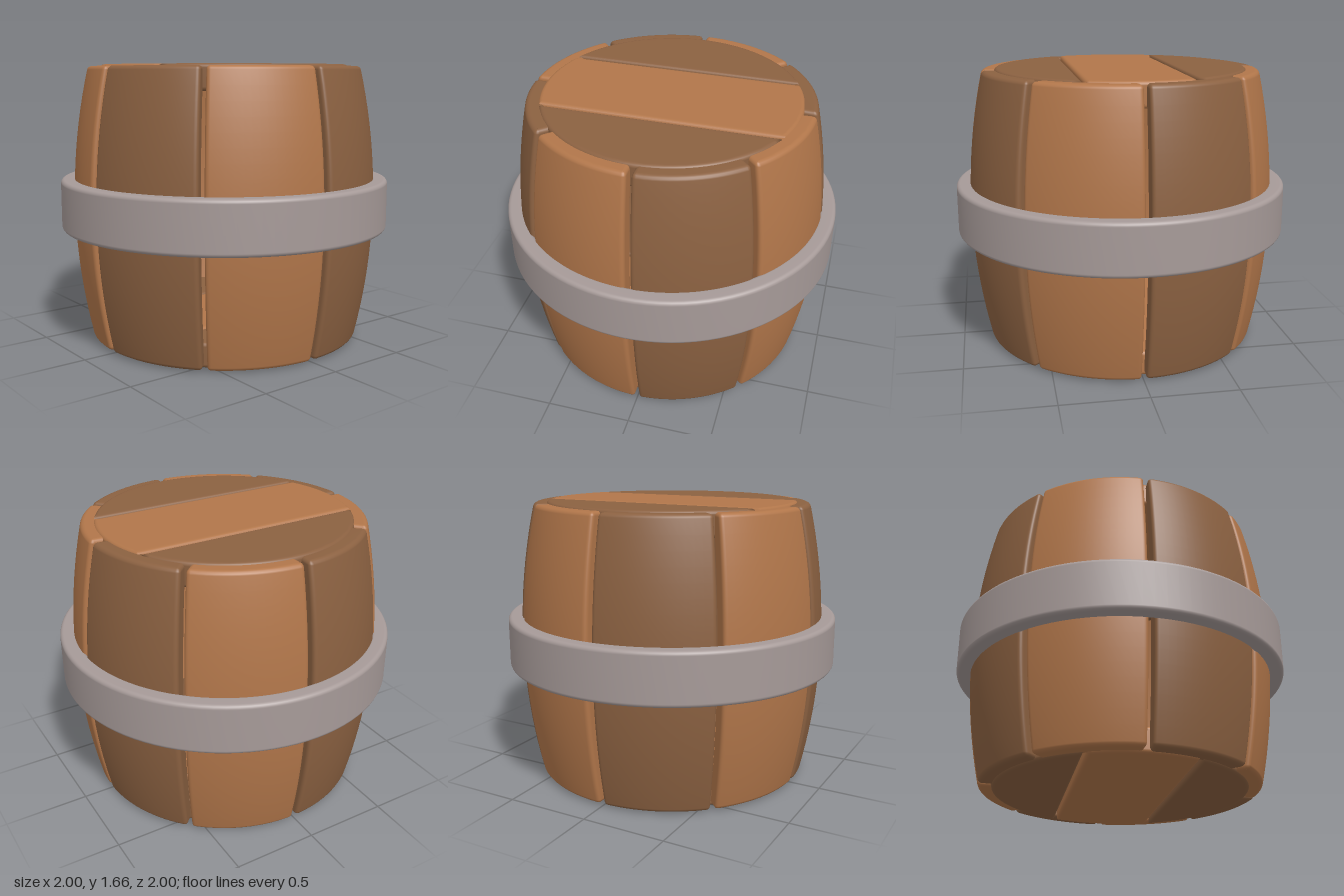
import * as THREE from 'three';
import { mergeVertices } from 'three/addons/utils/BufferGeometryUtils.js';

const TOP = 1.665, MID = TOP / 2;
const lightWood = new THREE.MeshStandardMaterial({ color: 0xb1764a });
const darkWood = new THREE.MeshStandardMaterial({ color: 0x8b6141 });
const iron = new THREE.MeshStandardMaterial({ color: 0xa69a98 });

// Upright slab from a plan outline, with rounded rims, standing between y0 and y1
function slab(shape, y0, y1, bevel, steps, curveSegments) {
  const g = new THREE.ExtrudeGeometry(shape, {
    depth: y1 - y0 - 2 * bevel, steps, curveSegments,
    bevelThickness: bevel, bevelSize: bevel, bevelOffset: -bevel, bevelSegments: 4,
  });
  g.rotateX(-Math.PI / 2);
  g.translate(0, y0 + bevel, 0);
  return g;
}

// Weld the surface and give it area-weighted smooth normals
function smooth(g) {
  g.deleteAttribute('uv');
  g.deleteAttribute('normal');
  const welded = mergeVertices(g, 1e-4);
  welded.computeVertexNormals();
  return welded;
}

// Plan of one stave: a ring sector with rounded corners and a parallel gap to its neighbours
function stavePlan(ri, ro, gap, c) {
  const s = new THREE.Shape();
  const half = r => Math.PI / 8 - Math.asin(gap / 2 / r);
  const p = (r, a) => [r * Math.cos(a), r * Math.sin(a)];
  const ho = half(ro), hi = half(ri), eo = ho - c / ro, ei = hi - c / ri;
  s.moveTo(...p(ri + c, -hi));
  s.lineTo(...p(ro - c, -ho));
  s.quadraticCurveTo(...p(ro, -ho), ...p(ro, -eo));
  s.absarc(0, 0, ro, -eo, eo, false);
  s.quadraticCurveTo(...p(ro, ho), ...p(ro - c, ho));
  s.lineTo(...p(ri + c, hi));
  s.quadraticCurveTo(...p(ri, hi), ...p(ri, ei));
  s.absarc(0, 0, ri, ei, -ei, true);
  s.quadraticCurveTo(...p(ri, -hi), ...p(ri + c, -hi));
  return s;
}

function staveGeometry() {
  const g = slab(stavePlan(0.71, 0.82, 0.028, 0.025), 0.01, TOP - 0.01, 0.022, 20, 7);
  // Bulge outward towards mid height
  const pos = g.attributes.position;
  for (let i = 0; i < pos.count; i++) {
    const t = (pos.getY(i) - MID) / MID;
    const k = 1 + 0.122 * (1 - t * t);
    pos.setX(i, pos.getX(i) * k);
    pos.setZ(i, pos.getZ(i) * k);
  }
  return smooth(g);
}

// Plans of the round lid, cut into three planks running along z
function lidPlans(R) {
  const a = Math.acos(0.297 / R), b = Math.acos(0.312 / R);
  const centre = new THREE.Shape();
  centre.absarc(0, 0, R, a, Math.PI - a, false);
  centre.absarc(0, 0, R, Math.PI + a, 2 * Math.PI - a, false);
  centre.closePath();
  const right = new THREE.Shape();
  right.absarc(0, 0, R, -b, b, false);
  right.closePath();
  const left = new THREE.Shape();
  left.absarc(0, 0, R, Math.PI - b, Math.PI + b, false);
  left.closePath();
  return [['leftPlank', right, darkWood], ['centrePlank', centre, lightWood], ['rightPlank', left, darkWood]];
}

function lid(name, y0) {
  const group = new THREE.Group();
  group.name = name;
  for (const [plankName, plan, material] of lidPlans(0.75)) {
    const plank = new THREE.Mesh(smooth(slab(plan, y0, y0 + 0.145, 0.022, 1, 16)), material);
    plank.name = plankName;
    group.add(plank);
  }
  return group;
}

// Hoop cross-section: a rounded rectangle turned around the axis
function hoopGeometry(ri, ro, y0, y1, c) {
  const s = new THREE.Shape();
  s.moveTo(ri + c, y0);
  s.lineTo(ro - c, y0);
  s.absarc(ro - c, y0 + c, c, -Math.PI / 2, 0, false);
  s.absarc(ro - c, y1 - c, c, 0, Math.PI / 2, false);
  s.absarc(ri + c, y1 - c, c, Math.PI / 2, Math.PI, false);
  s.absarc(ri + c, y0 + c, c, Math.PI, Math.PI * 1.5, false);
  return smooth(new THREE.LatheGeometry(s.getPoints(3), 96));
}

export function createModel() {
  const barrel = new THREE.Group();
  barrel.name = 'barrel';

  // Eight staves in alternating wood tones
  const staves = new THREE.Group();
  staves.name = 'staves';
  const staveGeo = staveGeometry();
  for (let i = 0; i < 8; i++) {
    const stave = new THREE.Mesh(staveGeo, i % 2 ? lightWood : darkWood);
    stave.name = `stave${i + 1}`;
    stave.rotation.y = (i + 0.5) * Math.PI / 4;
    staves.add(stave);
  }
  barrel.add(staves);

  // Lids at both ends
  barrel.add(lid('topLid', TOP - 0.145), lid('bottomLid', 0));

  // Iron band around the middle
  const hoop = new THREE.Mesh(hoopGeometry(0.9, 1, 0.68, 0.985, 0.024), iron);
  hoop.name = 'hoop';
  barrel.add(hoop);

  return barrel;
}
